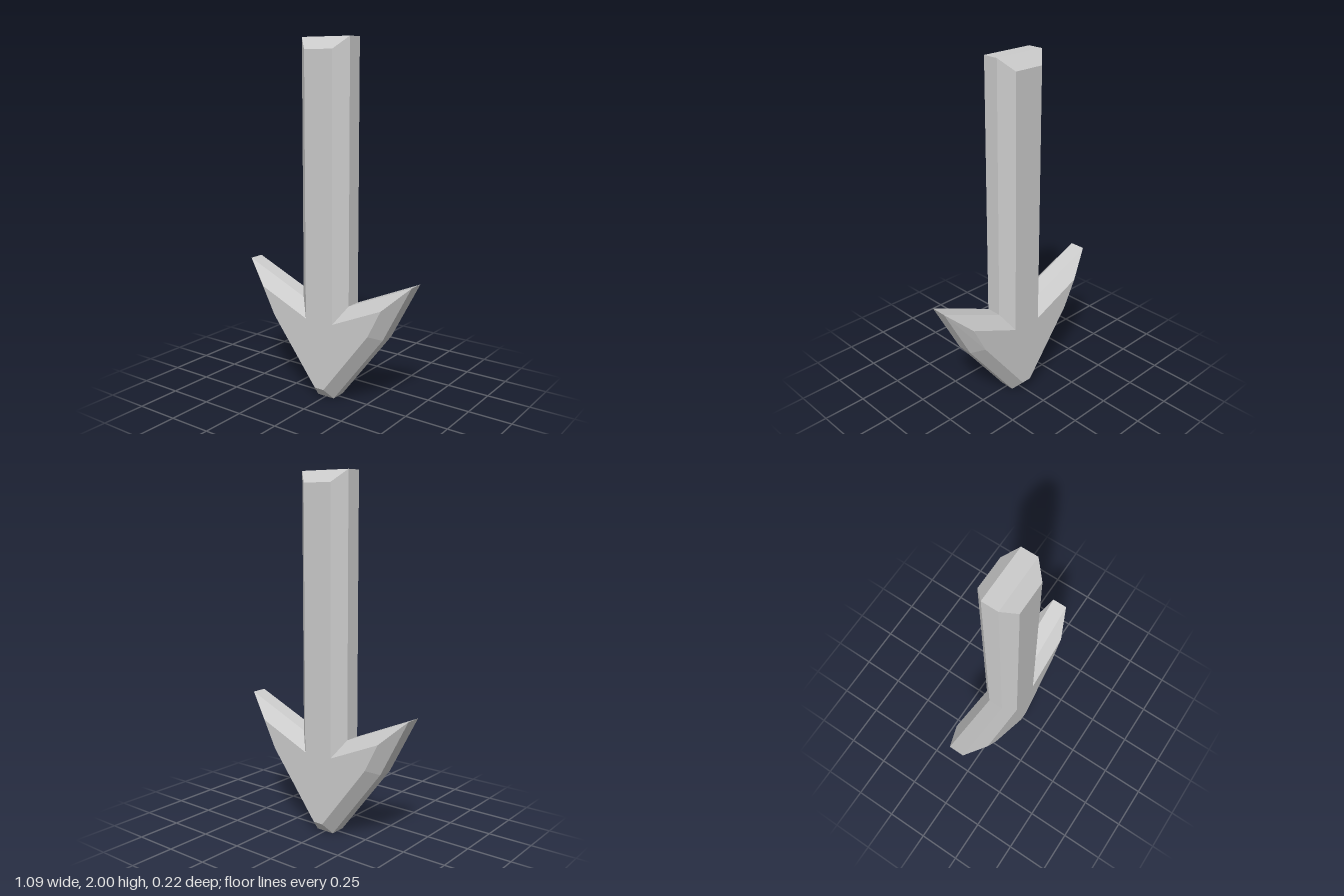
import * as THREE from 'three';

// Mirror a right-hand half outline into a closed counter-clockwise loop
function mirrored(half) {
  const right = half.map(([x, y]) => new THREE.Vector2(x, y));
  const left = half.map(([x, y]) => new THREE.Vector2(-x, y)).reverse();
  return [...right, ...left];
}

export function createModel() {
  // Silhouette, and the smaller face outline left by the wide bevel
  const outer = mirrored([[0.055, 0], [0.375, 0.415], [0.545, 0.735], [0.155, 0.565], [0.155, 2]]);
  const inner = mirrored([[0.03, 0.068], [0.32, 0.443], [0.4, 0.6], [0.09, 0.465], [0.09, 1.935]]);

  // Cross-sections from front to back
  const rings = [[inner, 0.11], [outer, 0.045], [outer, -0.045], [inner, -0.11]]
    .map(([loop, z]) => loop.map((p) => new THREE.Vector3(p.x, p.y, z)));

  const points = [];
  // Bevels and rim
  for (let r = 0; r < rings.length - 1; r++) {
    const a = rings[r], b = rings[r + 1];
    for (let i = 0; i < a.length; i++) {
      const j = (i + 1) % a.length;
      points.push(b[i], b[j], a[j], b[i], a[j], a[i]);
    }
  }
  // Flat front and back faces
  for (const [i, j, k] of THREE.ShapeUtils.triangulateShape(inner, [])) {
    points.push(rings[0][i], rings[0][j], rings[0][k]);
    points.push(rings[3][i], rings[3][k], rings[3][j]);
  }

  const geometry = new THREE.BufferGeometry().setFromPoints(points);
  geometry.computeVertexNormals();

  const arrow = new THREE.Mesh(
    geometry,
    new THREE.MeshStandardMaterial({ color: 0xcccccc, flatShading: true })
  );
  arrow.name = 'downArrow';

  const group = new THREE.Group();
  group.name = 'arrow';
  group.add(arrow);
  return group;
}
